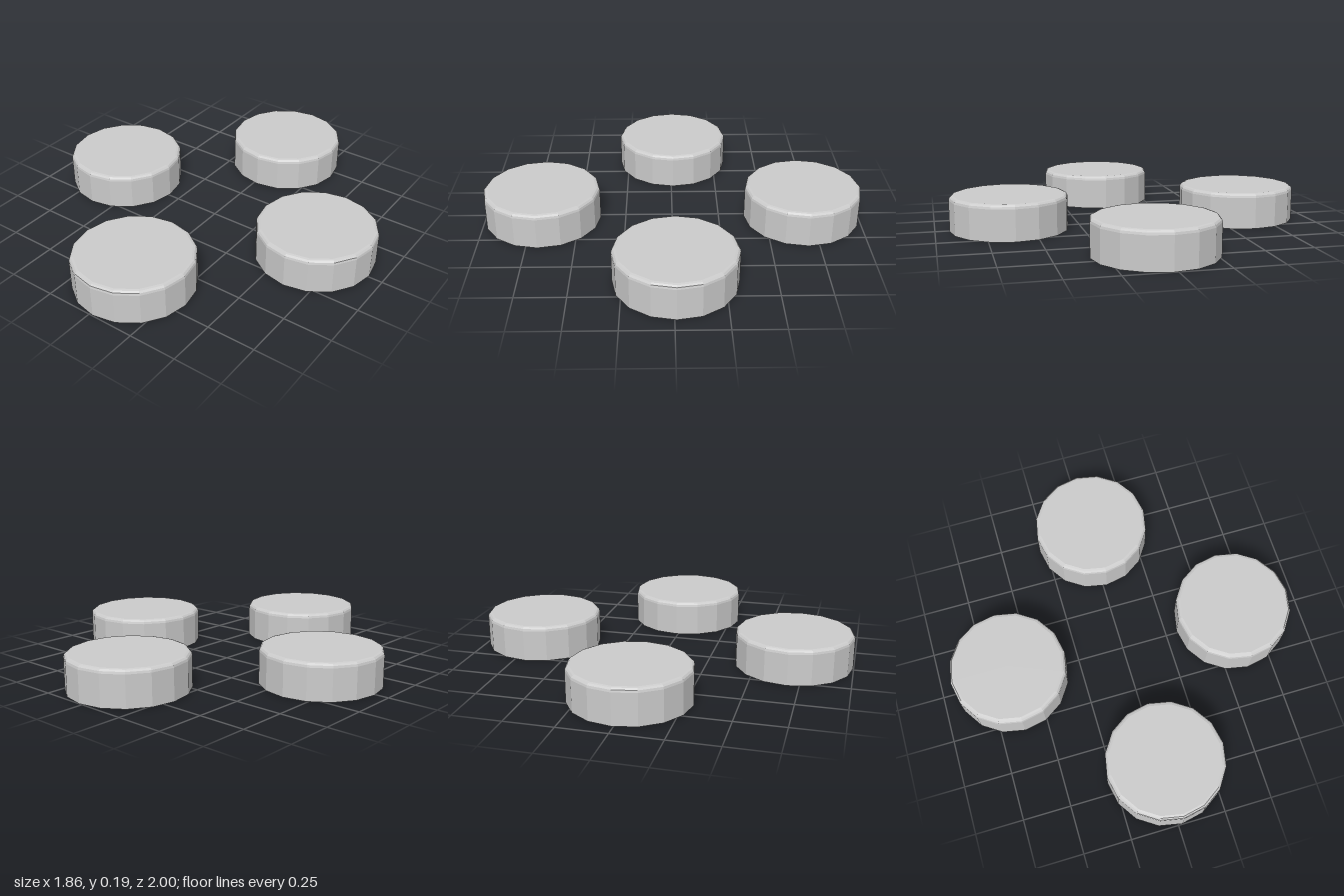
import * as THREE from 'three';

const RADIUS = 0.307, HEIGHT = 0.185, BEVEL = 0.022, SIDES = 16, BEVEL_STEPS = 3;

// Closed disc profile: flat base, straight wall, rounded top rim, flat top
function discGeometry() {
  const profile = [new THREE.Vector2(0, 0), new THREE.Vector2(RADIUS, 0)];
  for (let i = 0; i <= BEVEL_STEPS; i++) {
    const a = (i / BEVEL_STEPS) * Math.PI / 2;
    profile.push(new THREE.Vector2(
      RADIUS - BEVEL + BEVEL * Math.cos(a),
      HEIGHT - BEVEL + BEVEL * Math.sin(a)
    ));
  }
  profile.push(new THREE.Vector2(0, HEIGHT));
  return new THREE.LatheGeometry(profile, SIDES);
}

export function createModel() {
  const group = new THREE.Group();
  group.name = 'fourDiscs';
  const material = new THREE.MeshStandardMaterial({ color: 0xcccccc, flatShading: true });
  const geometry = discGeometry();

  // Four separate discs in a diamond layout
  const discs = [
    ['backDisc', 0.02, -0.693],
    ['frontDisc', 0.02, 0.69],
    ['leftDisc', 0.619, -0.01],
    ['rightDisc', -0.623, -0.01],
  ];
  for (const [name, x, z] of discs) {
    const disc = new THREE.Mesh(geometry, material);
    disc.name = name;
    disc.position.set(x, 0, z);
    group.add(disc);
  }
  return group;
}
